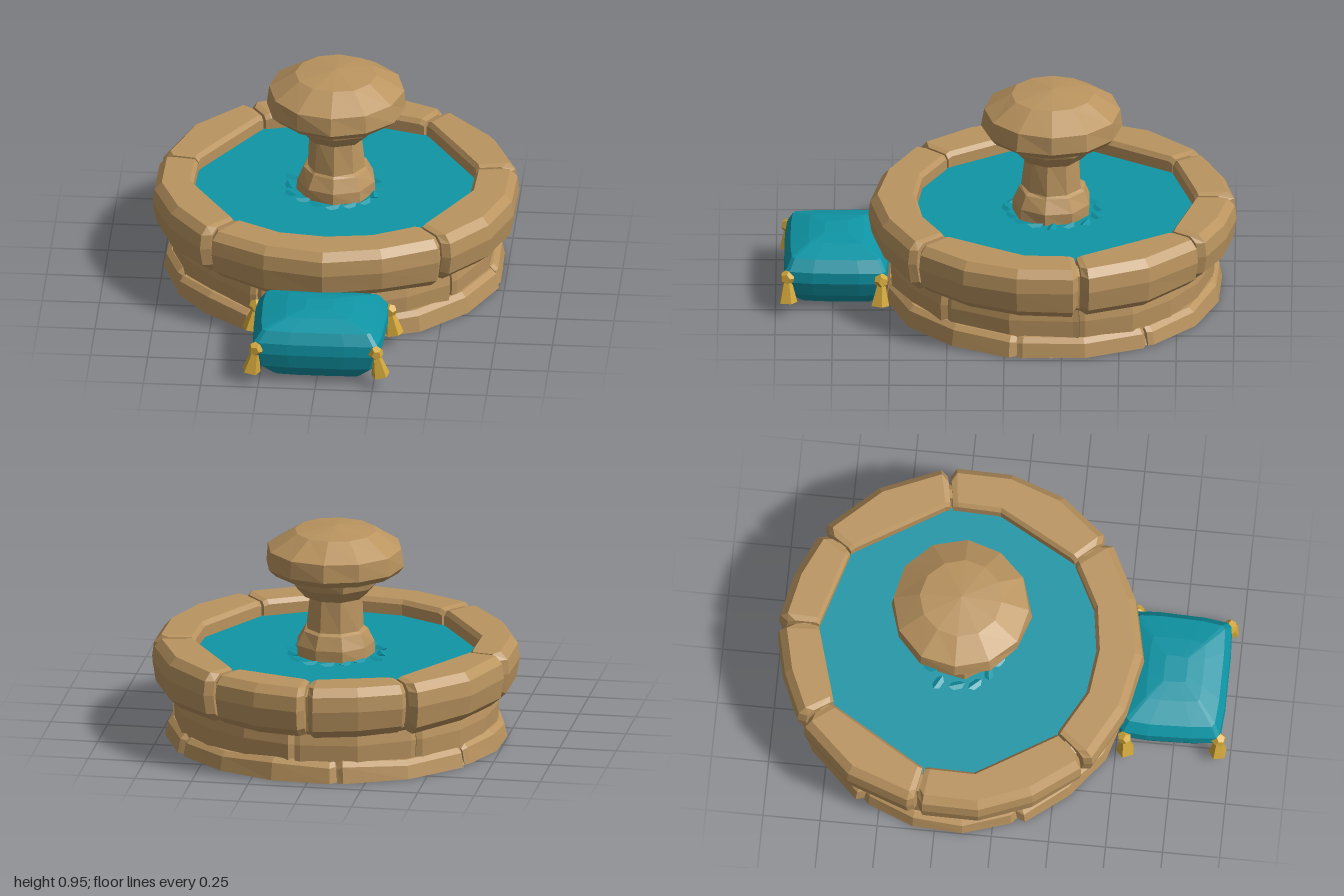
import * as THREE from 'three';

const CZ = -0.205; // fountain axis
const RAD = Math.PI / 180;
const stone = new THREE.MeshStandardMaterial({ color: 0xba945f, flatShading: true });
stone.name = 'sandstone';
const teal = new THREE.MeshStandardMaterial({ color: 0x0f95a5, flatShading: true });
teal.name = 'teal';
const gold = new THREE.MeshStandardMaterial({ color: 0xd2a83c, flatShading: true });
gold.name = 'gold';

// Repeatable wobble in -1..1
const wobble = (n) => { const s = Math.sin(n * 12.9898 + 4.1) * 43758.5453; return 2 * (s - Math.floor(s)) - 1; };

function add(parent, name, geometry, material) {
  const mesh = new THREE.Mesh(geometry, material);
  mesh.name = name;
  parent.add(mesh);
  return mesh;
}

// Closed solid skinned over a row of cross-section loops
function loft(loops) {
  const pos = [], index = [], n = loops[0].length, last = loops.length - 1;
  loops.forEach((loop) => loop.forEach((p) => pos.push(p.x, p.y, p.z)));
  for (let i = 0; i < last; i++) {
    for (let j = 0; j < n; j++) {
      const a = i * n + j, b = i * n + (j + 1) % n, c = a + n, d = b + n;
      index.push(a, c, b, b, c, d);
    }
  }
  [0, last].forEach((i) => {
    const mid = new THREE.Vector3();
    loops[i].forEach((p) => mid.addScaledVector(p, 1 / n));
    const m = pos.length / 3;
    pos.push(mid.x, mid.y, mid.z);
    for (let j = 0; j < n; j++) {
      const a = i * n + j, b = i * n + (j + 1) % n;
      if (i === 0) index.push(m, a, b); else index.push(m, b, a);
    }
  });
  const g = new THREE.BufferGeometry();
  g.setAttribute('position', new THREE.Float32BufferAttribute(pos, 3));
  g.setIndex(index);
  g.computeVertexNormals();
  return g;
}

const polar = (r, y, a) => new THREE.Vector3(Math.cos(a) * r, y, -Math.sin(a) * r);

// Uneven pool outline: [degrees, radius], 90 degrees is the back
const POOL = [[-105, 0.61], [-77, 0.61], [-48, 0.61], [-10, 0.61], [11, 0.615], [55, 0.63],
  [90, 0.625], [125, 0.635], [169, 0.62], [190, 0.63], [228, 0.61], [255, 0.61]];
function poolRadius(a) {
  let d = a / RAD;
  while (d < -105) d += 360;
  while (d >= 255) d -= 360;
  const k = POOL.findIndex((p, i) => i < POOL.length - 1 && d >= p[0] && d < POOL[i + 1][0]);
  const [d0, r0] = POOL[k], [d1, r1] = POOL[k + 1];
  return r0 * r1 * Math.sin((d1 - d0) * RAD) /
    (r0 * Math.sin((d - d0) * RAD) + r1 * Math.sin((d1 - d) * RAD));
}

// Ring of stones between the seam angles; section(a, pinch, k) gives [r, y] points
function stoneRing(parent, name, seams, gap, section) {
  const ring = new THREE.Group();
  ring.name = name;
  seams.forEach((s, i) => {
    const from = s * RAD + gap;
    const to = (i + 1 < seams.length ? seams[i + 1] : seams[0] + 360) * RAD - gap;
    const steps = Math.max(2, Math.round((to - from) / (20 * RAD)));
    const bevel = 0.035;
    const stops = [[from, 1]];
    for (let k = 0; k <= steps; k++) {
      stops.push([from + bevel + (to - from - 2 * bevel) * k / steps, 0]);
    }
    stops.push([to, 1]);
    const loops = stops.map(([a, pinch], k) => section(a, pinch, i * 11 + k).map(([r, y]) => polar(r, y, a)));
    add(ring, name + 'Stone', loft(loops), stone);
  });
  parent.add(ring);
}

// Lathe with slightly uneven rings; the pole stays put
function carved(points, sides, amount) {
  const g = new THREE.LatheGeometry(points.map((p) => new THREE.Vector2(...p)), sides);
  const p = g.attributes.position, rows = points.length;
  for (let i = 0; i < p.count; i++) {
    const row = i % rows, col = Math.floor(i / rows) % sides;
    const k = 1 + amount * wobble(row * 31 + col * 7);
    p.setX(i, p.getX(i) * k);
    p.setZ(i, p.getZ(i) * k);
  }
  g.computeVertexNormals();
  return g;
}

function makeFountain() {
  const f = new THREE.Group();
  f.name = 'fountain';
  f.position.z = CZ;

  // Solid core closing the floor and backing the seams
  add(f, 'basinCore', carved([[0, 0.01], [0.73, 0.01], [0.72, 0.03], [0.68, 0.1], [0.68, 0.2],
    [0.72, 0.24], [0.73, 0.4], [0.7, 0.42], [0.66, 0.42], [0.66, 0.3]], 24, 0), stone);

  stoneRing(f, 'footing', [-80, -12, 35, 100, 150, 205], 0.004, (a, e, k) => {
    const h = 0.095 + 0.012 * wobble(k), r = 0.745 + 0.008 * wobble(k + 5) - 0.015 * e;
    return [[0.62, 0.01], [r, 0.01], [r - 0.012, h - 0.02], [r - 0.035, h], [0.62, h]];
  });
  stoneRing(f, 'wall', [-40, 10, 85, 130, 185, 245], 0.003, (a, e, k) => {
    const r = 0.705 + 0.01 * wobble(k + 3) - 0.01 * e;
    return [[0.62, 0.08], [r, 0.08], [r + 0.005, 0.17], [r - 0.005, 0.235], [0.62, 0.235]];
  });
  stoneRing(f, 'rim', [-49, 9.5, 56, 90, 124, 170.5, 229], 0.009, (a, e, k) => {
    const r = 0.797 + 0.008 * wobble(k) - 0.03 * e, ri = poolRadius(a);
    const top = 0.45 - 0.008 * e, low = 0.22 + 0.01 * wobble(k + 2) + 0.008 * e;
    return [[0.66, low], [r - 0.06, low], [r - 0.015, low + 0.04], [r, 0.35], [r - 0.008, 0.415],
      [r - 0.04, top], [ri + 0.015, top], [ri, top - 0.02], [ri, 0.34]];
  });

  // Water surface
  const outline = new THREE.Shape(POOL.slice(0, -1).map(([d, r]) =>
    new THREE.Vector2(Math.cos(d * RAD) * (r + 0.01), Math.sin(d * RAD) * (r + 0.01))));
  const water = add(f, 'water', new THREE.ShapeGeometry(outline), teal);
  water.rotation.x = -Math.PI / 2;
  water.position.y = 0.38;

  // Choppy ripples around the pillar
  for (let i = 0; i < 16; i++) {
    const a = i / 16 * Math.PI * 2, r = 0.195 + 0.02 * wobble(i);
    const ripple = add(f, 'ripple', new THREE.TetrahedronGeometry(0.045), teal);
    ripple.scale.set(1, 0.4, 1);
    ripple.position.copy(polar(r, 0.38, a));
    ripple.rotation.y = a + wobble(i + 9);
  }

  // Pillar, bulb and mushroom cap
  add(f, 'pillar', carved([[0.175, 0.36], [0.17, 0.43], [0.145, 0.49], [0.13, 0.5], [0.118, 0.66]], 9, 0.05), stone);
  add(f, 'bulb', carved([[0, 0.645], [0.135, 0.645], [0.185, 0.7], [0.205, 0.77]], 9, 0.03), stone);
  add(f, 'cap', carved([[0, 0.765], [0.19, 0.755], [0.275, 0.755], [0.305, 0.785], [0.298, 0.865],
    [0.18, 0.938], [0, 0.96]], 12, 0.02), stone);
  return f;
}

function makeCushion() {
  const c = new THREE.Group();
  c.name = 'cushion';
  c.position.z = 0.735;

  // Plump pillow: rounded rectangles stacked by [height, half width, half depth]
  const levels = [[0.008, 0.12, 0.09], [0.025, 0.2, 0.165], [0.085, 0.265, 0.215], [0.15, 0.287, 0.228],
    [0.2, 0.285, 0.225], [0.25, 0.25, 0.2], [0.28, 0.145, 0.12], [0.292, 0.06, 0.05]];
  const quarter = [[1, 0.45], [0.96, 0.9], [0.9, 0.97], [0.45, 1]];
  const loops = levels.map(([y, w, d]) => {
    const loop = [];
    for (let q = 0; q < 4; q++) {
      quarter.forEach(([u, v]) => {
        const [x, z] = [[u, v], [-v, u], [-u, -v], [v, -u]][q];
        // the back edge is slightly wider
        loop.push(new THREE.Vector3(x * w * (1 - 0.025 * z), y, z * d));
      });
    }
    return loop;
  });
  add(c, 'pillow', loft(loops), teal);

  // Corner tassels: knot with a flared skirt
  for (const side of [-1, 1]) {
    for (const end of [-1, 1]) {
      const t = new THREE.Group();
      t.name = 'tassel';
      add(t, 'tasselKnot', new THREE.DodecahedronGeometry(0.033), gold).position.y = 0.03;
      const skirt = add(t, 'tasselSkirt', new THREE.CylinderGeometry(0.02, 0.042, 0.09, 5), gold);
      skirt.position.y = -0.035;
      t.position.set(side * (end > 0 ? 0.268 : 0.297), 0.14, end > 0 ? 0.212 : -0.195);
      t.rotation.set(end > 0 ? -0.15 : 0.1, side * end * 0.7, side * 0.25);
      c.add(t);
    }
  }
  return c;
}

export function createModel() {
  const model = new THREE.Group();
  model.name = 'fountainWithCushion';
  model.add(makeFountain(), makeCushion());
  return model;
}
